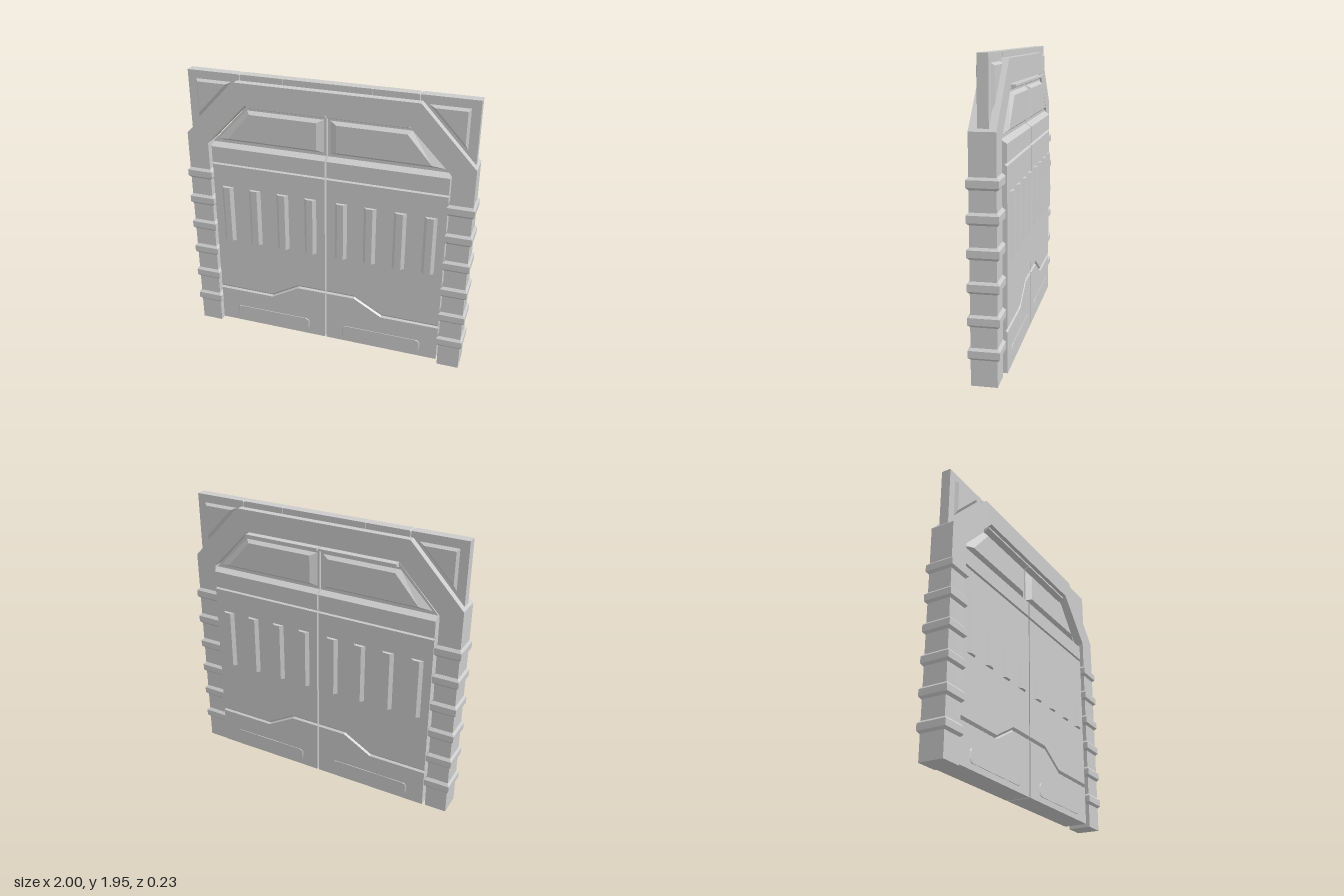
import * as THREE from 'three';

const mat = new THREE.MeshStandardMaterial({ color: 0xcccccc, flatShading: true });

function add(parent, name, geo, x = 0, y = 0, z = 0) {
  const mesh = new THREE.Mesh(geo, mat);
  mesh.name = name;
  mesh.position.set(x, y, z);
  parent.add(mesh);
  return mesh;
}

const shapeOf = pts => new THREE.Shape(pts.map(p => new THREE.Vector2(...p)));

function prism(pts, z0, z1) {
  return new THREE.ExtrudeGeometry(shapeOf(pts), { depth: z1 - z0, bevelEnabled: false }).translate(0, 0, z0);
}

// Prism whose far outline differs from its base, giving sloped edges
function taper(base, top, z0, z1) {
  const geo = prism(base, 0, 1);
  const p = geo.attributes.position;
  for (let i = 0; i < p.count; i++) {
    const far = p.getZ(i) > 0.5;
    if (far) {
      const k = base.findIndex(b => Math.hypot(b[0] - p.getX(i), b[1] - p.getY(i)) < 1e-4);
      p.setXY(i, ...top[k]);
    }
    p.setZ(i, far ? z1 : z0);
  }
  geo.computeVertexNormals();
  return geo;
}

const rect = (x0, x1, y0, y1) => [[x0, y0], [x1, y0], [x1, y1], [x0, y1]];
const mirrored = pts => [...pts, ...pts.slice().reverse().map(([x, y]) => [-x, y])];

// Add a part on both faces of a slab
function bothFaces(parent, name, geo) {
  add(parent, name, geo);
  add(parent, name + 'Rear', geo).scale.z = -1;
}

// One door leaf, built around its own mid-depth
function makeDoor() {
  const door = new THREE.Group();
  const a = 0.006, b = 0.822, face = 0.084, bed = 0.07, recess = 0.046;
  add(door, 'doorCore', prism([[a, 0.02], [b, 0.02], [b, 1.456], [0.547, 1.749], [a, 1.749]], -recess, recess));
  add(door, 'doorBody', prism(rect(a, b, 0.02, 1.43), -bed, bed));

  // Kick panel and main panel meet in a stepped groove
  const step = d => [[b, 0.294 + d], [0.412, 0.294 + d], [0.21, 0.41 + d], [a, 0.41 + d]];
  bothFaces(door, 'kickPanel', taper(
    [[a, 0.02], [b, 0.02], ...step(0)], [[a, 0.02], [b, 0.02], ...step(-0.01)], bed, face));
  const up = d => step(d).reverse();
  bothFaces(door, 'mainPanel', taper(
    [...up(0), [b, 1.307], [a, 1.307]], [...up(0.017), [b, 1.3], [a, 1.3]], bed, face));

  // Belt below the window, with a sloped sill
  bothFaces(door, 'beltPanel', taper(rect(a, b, 1.307, 1.455), rect(a, b, 1.32, 1.43), recess, face));

  // Raised window panel and trim above it
  bothFaces(door, 'windowPanel', taper(
    [[0.022, 1.475], [0.785, 1.475], [0.56, 1.705], [0.022, 1.705]],
    [[0.067, 1.495], [0.7, 1.495], [0.535, 1.685], [0.067, 1.685]], recess, 0.072));
  bothFaces(door, 'topTrim', taper(rect(a, 0.547, 1.718, 1.749), rect(a, 0.547, 1.735, 1.749), recess, face));

  // Vertical ribs
  for (const x of [0.11, 0.312, 0.517, 0.72]) {
    bothFaces(door, 'rib', taper(rect(x - 0.043, x + 0.043, 0.72, 1.14),
      rect(x - 0.022, x + 0.022, 0.72, 1.14), face, 0.106));
  }

  // Thin plate with rounded ends on the kick panel
  const plate = (x0, x1) => [[x0 + 0.025, 0.06], [x1 - 0.025, 0.06], [x1 - 0.007, 0.066], [x1, 0.083],
    [x1, 0.127], [x1 - 0.007, 0.144], [x1 - 0.025, 0.15], [x0 + 0.025, 0.15], [x0 + 0.007, 0.144],
    [x0, 0.127], [x0, 0.083], [x0 + 0.007, 0.066]];
  bothFaces(door, 'kickPlate', taper(plate(0.125, 0.7), plate(0.134, 0.691), face, 0.0885));
  return door;
}

// Bevelled ring clamped round a pillar
function bandGeometry() {
  const w = 0.09, d = 0.0975, inset = 0.016;
  const rows = [[-0.04, inset], [-0.022, 0], [0.022, 0], [0.04, inset]];
  const pos = [], idx = [];
  for (const [y, s] of rows) {
    for (const [sx, sz] of [[-1, 1], [1, 1], [1, -1], [-1, -1]]) pos.push(sx * (w - s), y, sz * (d - s));
  }
  for (let r = 0; r < 3; r++) {
    for (let k = 0; k < 4; k++) {
      const p = r * 4 + k, q = r * 4 + (k + 1) % 4;
      idx.push(p, q, q + 4, p, q + 4, p + 4);
    }
  }
  idx.push(0, 2, 1, 0, 3, 2, 12, 13, 14, 12, 14, 15);
  const geo = new THREE.BufferGeometry();
  geo.setAttribute('position', new THREE.Float32BufferAttribute(pos, 3));
  geo.setIndex(idx);
  const flat = geo.toNonIndexed();
  flat.computeVertexNormals();
  return flat;
}

// Parts on one side of the gateway
function makeSide() {
  const side = new THREE.Group();
  const door = makeDoor();
  door.name = 'door';
  door.position.z = -0.008;
  side.add(door);

  const band = bandGeometry();
  for (let i = 0; i < 6; i++) add(side, 'pillarBand', band, 0.909, 0.203 + i * 0.204, 0.0155);

  // Corner plate behind the sloped frame shoulder, with a raised triangle
  const corner = new THREE.Group();
  corner.name = 'cornerPlate';
  corner.position.z = 0.0135;
  side.add(corner);
  add(corner, 'plate', prism([[0.601, 1.86], [0.93, 1.523], [0.97, 1.523], [0.97, 1.948], [0.606, 1.948],
    [0.601, 1.942]], -0.033, 0.033));
  bothFaces(corner, 'plateTriangle', taper([[0.655, 1.892], [0.912, 1.622], [0.912, 1.892]],
    [[0.695, 1.877], [0.897, 1.664], [0.897, 1.877]], 0.033, 0.053));

  // Top rail segment between the centre and the corner
  add(side, 'topRailSegment', prism([[0.3015, 1.86], [0.595, 1.86], [0.595, 1.942], [0.589, 1.948],
    [0.304, 1.948], [0.3015, 1.945]], -0.0195, 0.0465));
  return side;
}

export function createModel() {
  const model = new THREE.Group();
  model.name = 'gateway';

  // Arch: outer outline down the right, inner outline back up
  const arch = [[0.835, 0], [0.985, 0], ...mirrored([[0.985, 1.517], [0.617, 1.908]]),
    [-0.985, 0], [-0.835, 0], ...mirrored([[-0.835, 1.46], [-0.55, 1.757]])];
  add(model, 'archFrame', prism(arch, -0.065, 0.098));

  // Centre rail on top
  add(model, 'topRailCentre', prism(mirrored([[0.2985, 1.86], [0.2985, 1.945], [0.296, 1.948]]), -0.0195, 0.0465));

  for (const s of [1, -1]) {
    const side = makeSide();
    side.name = s > 0 ? 'leftSide' : 'rightSide';
    side.scale.x = s;
    model.add(side);
  }
  return model;
}
